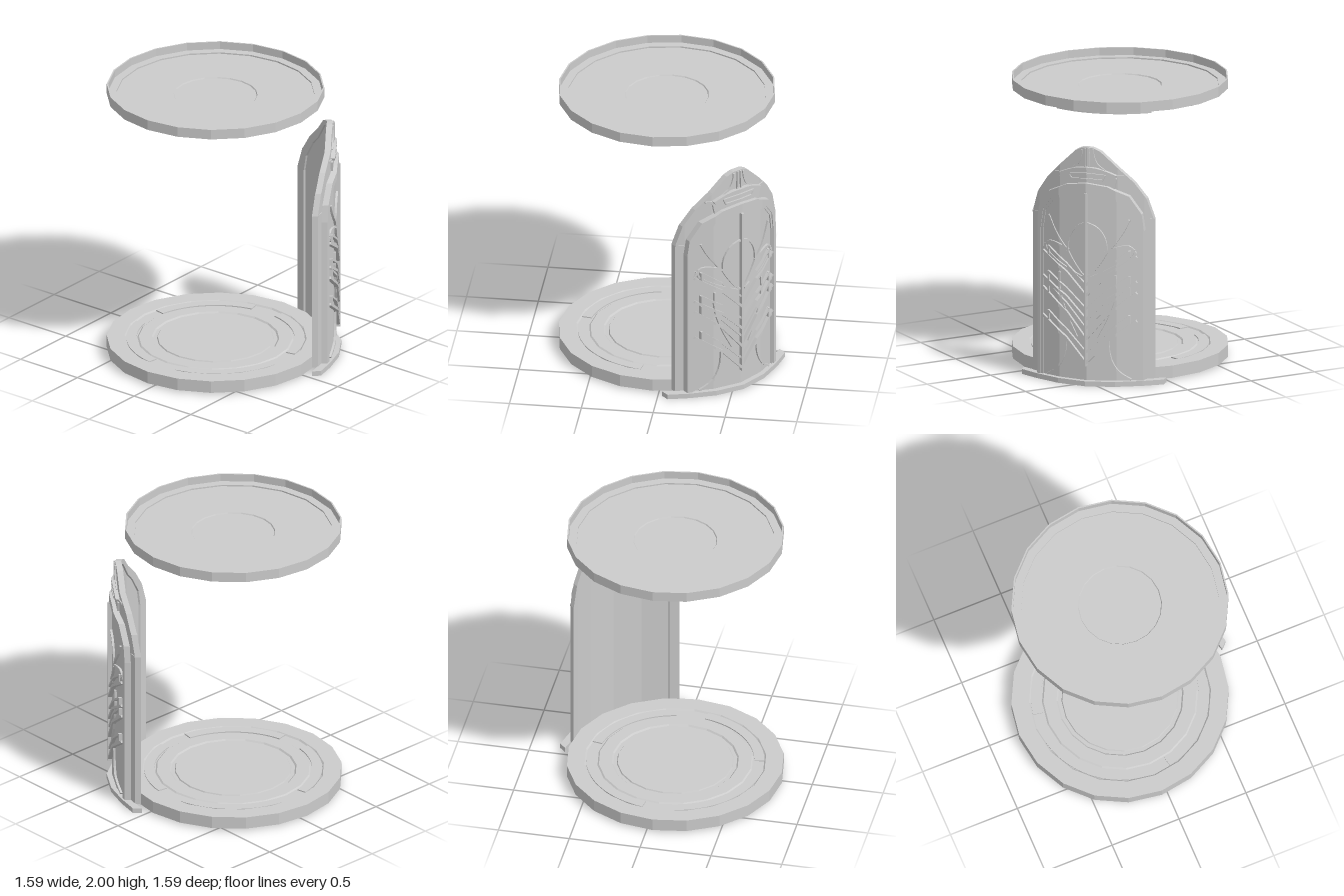
import * as THREE from 'three';
import { mergeGeometries } from 'three/addons/utils/BufferGeometryUtils.js';

const grey = new THREE.MeshStandardMaterial({ color: 0xcccccc, flatShading: true, side: THREE.DoubleSide });

// Faceted plan curve of the panel: [distance along width, depth]
const PLAN = [[0, 0.81], [0.205, 0.77], [0.378, 0.69], [0.52, 0.604]];
const CUTS = [-0.52, -0.378, -0.205, 0, 0.205, 0.378, 0.52];

function depthAt(s) {
  const a = Math.abs(s);
  let i = 0;
  while (i < PLAN.length - 2 && a > PLAN[i + 1][0]) i++;
  const [[s0, d0], [s1, d1]] = [PLAN[i], PLAN[i + 1]];
  return d0 + ((d1 - d0) * (a - s0)) / (s1 - s0);
}

// Keep the part of a polygon where sign * (x - limit) >= 0
function clip(poly, limit, sign) {
  const out = [];
  poly.forEach((p, i) => {
    const q = poly[(i + 1) % poly.length];
    const a = sign * (p[0] - limit), b = sign * (q[0] - limit);
    if (a >= 0) out.push(p);
    if (a * b < 0) {
      const t = a / (a - b);
      out.push([limit, p[1] + (q[1] - p[1]) * t]);
    }
  });
  return out;
}

// Slab cut at the plan's bends and folded onto the plan curve
function slab(poly, from, to) {
  const parts = [];
  for (let i = 0; i < CUTS.length - 1; i++) {
    const piece = clip(clip(poly, CUTS[i], 1), CUTS[i + 1], -1);
    const w = piece.map((p) => p[0]);
    if (piece.length < 3 || Math.max(...w) - Math.min(...w) < 1e-4) continue;
    const shape = new THREE.Shape(piece.map((p) => new THREE.Vector2(...p)));
    const g = new THREE.ExtrudeGeometry(shape, { depth: to - from, bevelEnabled: false });
    const pos = g.attributes.position;
    for (let k = 0; k < pos.count; k++) pos.setZ(k, pos.getZ(k) + from + depthAt(pos.getX(k)));
    g.computeVertexNormals();
    parts.push(g);
  }
  return parts;
}

const flip = (pts) => pts.map(([x, y]) => [-x, y]);
// Half outline (bottom to centre top) to full outline
const whole = (half) => [...half, ...flip(half).reverse().filter((p) => Math.abs(p[0]) > 1e-6)];

// Band between two matching lines of points
function band(a, b, from, to) {
  const parts = [];
  for (let i = 0; i < a.length - 1; i++) parts.push(...slab([a[i], a[i + 1], b[i + 1], b[i]], from, to));
  return parts;
}

// Ribbon of even width along a path
function ribbon(path, width, from, to) {
  const side = (k) => path.map((p, i) => {
    const a = path[Math.max(i - 1, 0)], b = path[Math.min(i + 1, path.length - 1)];
    const dx = b[0] - a[0], dy = b[1] - a[1], l = Math.hypot(dx, dy);
    return [p[0] - (k * dy * width) / (2 * l), p[1] + (k * dx * width) / (2 * l)];
  });
  return band(side(1), side(-1), from, to);
}
const pair = (fn, a, ...rest) => [...fn(a, ...rest), ...fn(flip(a), ...rest)];
const smooth = (pts, n = 8) =>
  new THREE.SplineCurve(pts.map((p) => new THREE.Vector2(...p))).getPoints(n).map((p) => [p.x, p.y]);

function add(group, name, parts) {
  const mesh = new THREE.Mesh(mergeGeometries(parts), grey);
  mesh.name = name;
  group.add(mesh);
}

function makePanel() {
  const panel = new THREE.Group();
  panel.name = 'curvedPanel';
  panel.rotation.y = Math.PI / 4;

  const outer = [[0.435, 0.03], [0.435, 1.17], [0.39, 1.32], [0.31, 1.44], [0.2, 1.555], [0.09, 1.66], [0.04, 1.685], [0, 1.69]];
  const outerIn = [[0.375, 0.03], [0.375, 1.16], [0.35, 1.28], [0.27, 1.41], [0.17, 1.52], [0.07, 1.63], [0.03, 1.65], [0, 1.655]];
  const archOut = [[0.385, 0.03], [0.385, 1.1], [0.37, 1.22], [0.29, 1.35], [0.15, 1.42], [0, 1.445]];
  const archIn = [[0.352, 0.03], [0.352, 1.08], [0.332, 1.22], [0.255, 1.315], [0.13, 1.365], [0, 1.385]];
  const rimIn = [[0.335, 0.03], [0.335, 1.08], [0.315, 1.21], [0.243, 1.3], [0.125, 1.348], [0, 1.37]];

  add(panel, 'base', [...slab([[-0.51, 0], [0.51, 0], [0.51, 0.035], [-0.51, 0.035]], -0.06, 0.003)]);
  add(panel, 'backPlate', slab(whole(outer), -0.085, -0.055));
  add(panel, 'backFrame', pair((o) => band(o, o[0][0] > 0 ? outerIn : flip(outerIn), -0.097, -0.085), outer));
  add(panel, 'archFrame', pair((o) => band(o, o[0][0] > 0 ? archIn : flip(archIn), -0.055, -0.012), archOut));
  add(panel, 'archRim', pair((o) => band(o, o[0][0] > 0 ? rimIn : flip(rimIn), -0.055, -0.022), archIn));
  add(panel, 'door', slab(whole(archIn), -0.055, -0.034));

  // Crest above the arch
  const crest = [[0.19, 1.4], [0.205, 1.47], [0.18, 1.5], [0.1, 1.535], [0, 1.548]];
  const crestTop = smooth([[-0.2, 1.49], [-0.1, 1.53], [0, 1.545], [0.1, 1.53], [0.2, 1.49]]);
  const slot = [[-0.11, 1.46], [-0.13, 1.495], [0, 1.508], [0.13, 1.495], [0.11, 1.46], [0, 1.47], [-0.11, 1.46]];
  add(panel, 'crest', [
    ...slab(whole(crest), -0.055, -0.04),
    ...ribbon(crestTop, 0.018, -0.055, -0.026),
    ...ribbon(slot, 0.012, -0.04, -0.028),
  ]);
  add(panel, 'crestRibs', [
    ...pair(ribbon, [[0.016, 1.54], [0.012, 1.685]], 0.01, -0.055, -0.042),
    ...pair(ribbon, smooth([[0.12, 1.53], [0.07, 1.57], [0.045, 1.63], [0.04, 1.675]]), 0.012, -0.055, -0.044),
    ...pair(ribbon, [[0.19, 1.49], [0.25, 1.49]], 0.014, -0.055, -0.045),
    ...pair(ribbon, [[0.385, 1.17], [0.435, 1.17]], 0.012, -0.055, -0.05),
  ]);

  // Raised decoration on the door
  add(panel, 'centreRib', slab([[-0.009, 0.14], [0.009, 0.14], [0.009, 1.37], [-0.009, 1.37]], -0.034, -0.004));
  const chevrons = [];
  for (const [low, high] of [[0.16, 0.46], [0.33, 0.66], [0.47, 0.74], [0.64, 0.92]]) {
    const mid = low + (high - low) * 0.55;
    chevrons.push(...pair(ribbon, [[0, low], [0.15, mid], [0.338, high]], 0.018, -0.034, -0.006));
    chevrons.push(...pair(ribbon, [[0, low + 0.075], [0.15, mid + 0.06], [0.29, high + 0.035]], 0.014, -0.034, -0.01));
    chevrons.push(...pair(ribbon, [[0.29, high - 0.03], [0.29, high + 0.04]], 0.014, -0.034, -0.01));
  }
  add(panel, 'chevrons', chevrons);

  const curves = [
    [[0.29, 1.18], [0.24, 1.08], [0.16, 0.97], [0.13, 0.95]],
    [[0.335, 0.93], [0.29, 0.99], [0.21, 0.985], [0.13, 0.95]],
    [[0, 1.16], [0.08, 1.12], [0.13, 1.04], [0.14, 0.95]],
    [[0.14, 0.95], [0.1, 0.88], [0.04, 0.8], [0.01, 0.78]],
    [[0.3, 0.04], [0.22, 0.1], [0.165, 0.2], [0.15, 0.33]],
    [[0.2, 0.79], [0.2, 0.66], [0.15, 0.5], [0.07, 0.34]],
    [[0.03, 0.77], [0.16, 0.83], [0.29, 0.91], [0.32, 0.97]],
  ];
  add(panel, 'leafLines', curves.flatMap((c) => pair(ribbon, smooth(c), 0.013, -0.034, -0.018)));
  return panel;
}

// Flat ring segment lying at height y
function arcPlate(r0, r1, a0, a1, y, h) {
  const s = new THREE.Shape();
  s.absarc(0, 0, r1, a0, a1, false);
  s.absarc(0, 0, r0, a1, a0, true);
  const g = new THREE.ExtrudeGeometry(s, { depth: h, bevelEnabled: false, curveSegments: 10 });
  return g.rotateX(-Math.PI / 2).translate(0, y, 0);
}

function makeDisc(name, profile, plates) {
  const disc = new THREE.Group();
  disc.name = name;
  disc.position.set(-0.043, 0, -0.043);
  const lathe = new THREE.LatheGeometry(profile.map((p) => new THREE.Vector2(...p)), 20);
  add(disc, name + 'Body', [lathe]);
  add(disc, name + 'Plates', plates);
  return disc;
}

export function createModel() {
  const model = new THREE.Group();

  // Floor disc: thin rings hang below, shallow steps on top
  const floor = [[0, 0.055], [0.355, 0.055]];
  for (const r of [0.355, 0.43, 0.52, 0.61, 0.68]) floor.push([r, 0.06], [r, 0.018], [r + 0.012, 0.018], [r + 0.012, 0.06]);
  floor.push([0.738, 0.06], [0.738, 0.013], [0.752, 0.013], [0.752, 0.1], [0.63, 0.1], [0.62, 0.09], [0.54, 0.09],
    [0.53, 0.098], [0.44, 0.098], [0.43, 0.088], [0.405, 0.088], [0.4, 0.096], [0, 0.096]);
  const floorPlates = [];
  for (let i = 0; i < 4; i++) {
    const a = (i * Math.PI) / 2 + 0.2;
    floorPlates.push(arcPlate(0.545, 0.615, a, a + 1.2, 0.085, 0.013));
  }
  model.add(makeDisc('floorDisc', floor, floorPlates));

  // Ceiling disc: raised thin rim, open tray above, stepped tier below
  const ceiling = [[0, 1.915], [0.285, 1.915], [0.29, 1.905], [0.37, 1.905], [0.375, 1.912], [0.48, 1.912], [0.485, 1.9],
    [0.505, 1.9], [0.51, 1.91], [0.685, 1.91], [0.685, 1.928], [0.752, 1.928], [0.752, 2], [0.742, 2], [0.742, 1.945],
    [0.685, 1.945], [0.685, 1.935], [0.29, 1.935], [0.285, 1.927], [0, 1.927]];
  const ceilingPlates = [];
  for (let i = 0; i < 4; i++) {
    const a = (i * Math.PI) / 2 + 0.35;
    ceilingPlates.push(arcPlate(0.5, 0.66, a, a + 1.05, 1.894, 0.018));
  }
  model.add(makeDisc('ceilingDisc', ceiling, ceilingPlates));

  model.add(makePanel());
  return model;
}
